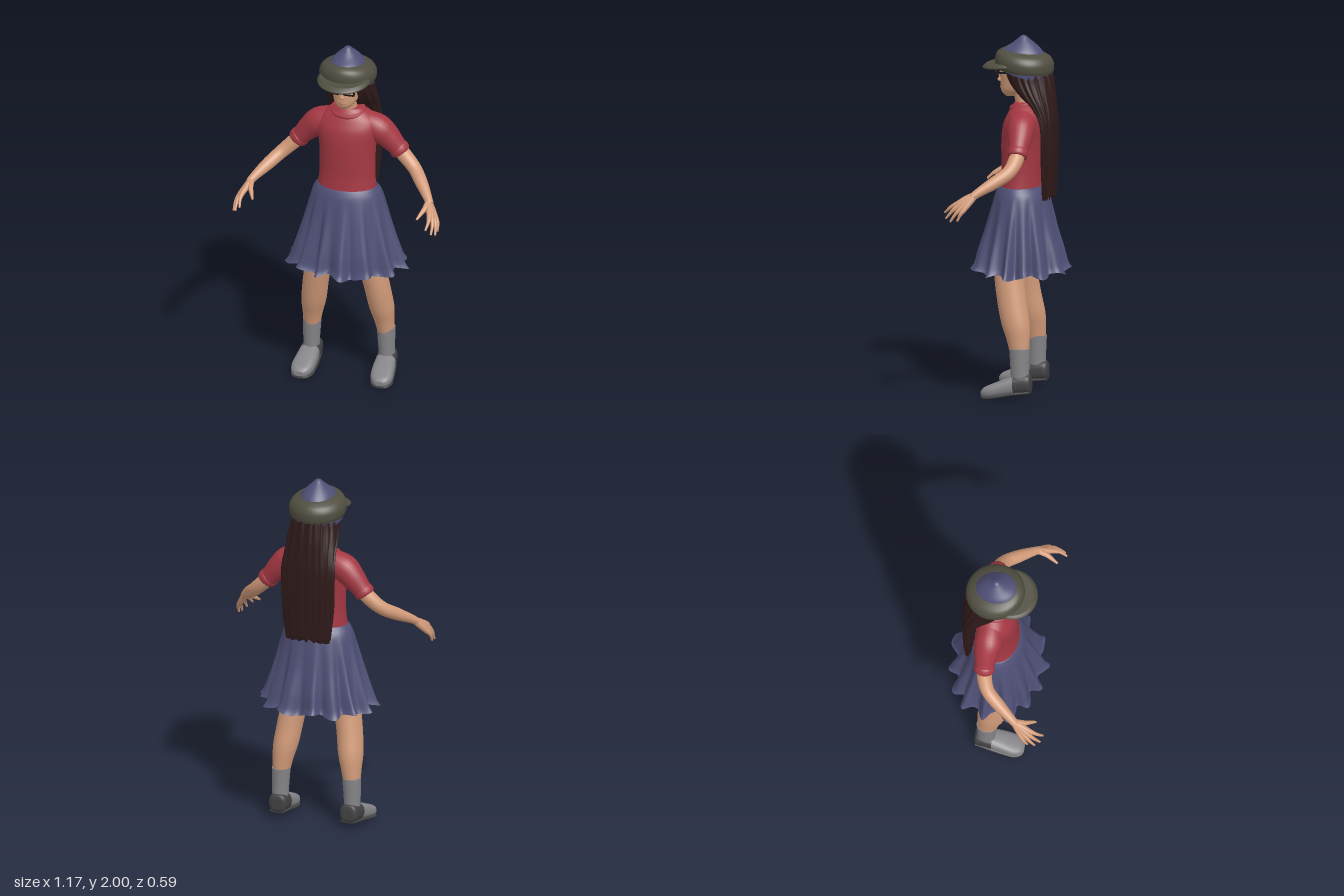
import * as THREE from 'three';

const mat = (name, color, side = THREE.FrontSide) => {
  const m = new THREE.MeshStandardMaterial({ color, side });
  m.name = name;
  return m;
};

// Smoothly resample rows of numbers (Catmull-Rom on every column)
function resample(rows, steps) {
  const out = [], n = rows.length - 1;
  for (let s = 0; s <= n * steps; s++) {
    const i = Math.min(Math.floor(s / steps), n - 1), t = s / steps - i;
    const [a, b, c, d] = [rows[Math.max(i - 1, 0)], rows[i], rows[i + 1], rows[Math.min(i + 2, n)]];
    out.push(b.map((_, k) => 0.5 * (2 * b[k] + (c[k] - a[k]) * t + (2 * a[k] - 5 * b[k] + 4 * c[k] - d[k]) * t * t
      + (3 * b[k] - a[k] - 3 * c[k] + d[k]) * t * t * t)));
  }
  return out;
}

// Skin a list of rings, closing both ends if capped
function skin(rings, cap = true) {
  const n = rings[0].length, pos = [], idx = [];
  rings.forEach(r => r.forEach(p => pos.push(p.x, p.y, p.z)));
  for (let i = 0; i < rings.length - 1; i++) for (let j = 0; j < n; j++) {
    const a = i * n + j, b = i * n + (j + 1) % n;
    idx.push(a, a + n, b, b, a + n, b + n);
  }
  if (cap) [0, rings.length - 1].forEach((row, end) => {
    const c = new THREE.Vector3();
    rings[row].forEach(p => c.addScaledVector(p, 1 / n));
    const first = pos.length / 3;
    rings[row].forEach(p => pos.push(p.x, p.y, p.z));
    pos.push(c.x, c.y, c.z);
    for (let j = 0; j < n; j++) {
      const a = first + j, b = first + (j + 1) % n;
      idx.push(first + n, ...(end ? [b, a] : [a, b]));
    }
  });
  const g = new THREE.BufferGeometry();
  g.setAttribute('position', new THREE.Float32BufferAttribute(pos, 3));
  g.setIndex(idx);
  g.computeVertexNormals();
  return g;
}

// Upright body from elliptical rows [y, cx, cz, rx, rz], bottom to top; tilt leans rows along z
function loft(rows, { seg = 32, steps = 5, tilt = 0, cap = true, mod } = {}) {
  return skin(resample(rows, steps).map(([y, cx, cz, rx, rz, lean = tilt]) =>
    Array.from({ length: seg }, (_, j) => {
      const a = j / seg * Math.PI * 2, m = mod ? mod(a, y) : { r: 1, dy: 0 };
      const z = Math.sin(a) * rz * m.r;
      return new THREE.Vector3(cx + Math.cos(a) * rx * m.r, y + m.dy + z * lean, cz + z);
    })), cap);
}

// Round limb through rows [x, y, z, radius]
function limb(rows, seg = 16, steps = 5) {
  const s = resample(rows, steps), v = r => new THREE.Vector3(r[0], r[1], r[2]);
  return skin(s.map((r, i) => {
    const t = v(s[Math.min(i + 1, s.length - 1)]).sub(v(s[Math.max(i - 1, 0)])).normalize();
    const n = new THREE.Vector3(0, 0, 1).cross(t).normalize(), b = t.clone().cross(n);
    return Array.from({ length: seg }, (_, j) => {
      const a = j / seg * Math.PI * 2;
      return v(r).addScaledVector(n, Math.cos(a) * r[3]).addScaledVector(b, -Math.sin(a) * r[3]);
    });
  }));
}

// Shoe body from stations [z, cx, bottom, top, halfWidth], heel to toe
function shoe(rows) {
  return skin(resample(rows, 5).map(([z, cx, lo, hi, w]) => Array.from({ length: 24 }, (_, j) => {
    const a = j / 24 * Math.PI * 2, c = Math.cos(a), s = Math.sin(a);
    const sq = v => Math.sign(v) * Math.abs(v) ** 0.75;
    return new THREE.Vector3(cx + sq(c) * w, (lo + hi) / 2 - sq(s) * (hi - lo) / 2, z);
  })));
}

function mirrored(geo) {
  const g = geo.clone().scale(-1, 1, 1), ix = g.index.array;
  for (let i = 0; i < ix.length; i += 3) [ix[i], ix[i + 1]] = [ix[i + 1], ix[i]];
  g.computeVertexNormals();
  return g;
}

function roundedRect(path, w, h, r) {
  path.moveTo(-w + r, -h);
  [[w - r, -h, w, -h, w, -h + r], [w, h - r, w, h, w - r, h], [-w + r, h, -w, h, -w, h - r], [-w, -h + r, -w, -h, -w + r, -h]]
    .forEach(([x, y, cx, cy, ex, ey]) => { path.lineTo(x, y); path.quadraticCurveTo(cx, cy, ex, ey); });
  return path;
}

export function createModel() {
  const group = new THREE.Group();
  const skinTone = mat('skin', 0xd29b79), red = mat('shirt red', 0xa43843), blue = mat('slate blue', 0x4f4f76, THREE.DoubleSide);
  const olive = mat('olive', 0x504e40), brown = mat('dark brown hair', 0x301a1a), grey = mat('grey', 0x858589);
  const dark = mat('dark grey', 0x424244), black = mat('black', 0x151517), lip = mat('lip', 0xb06f60), white = mat('eye white', 0xd8d0c8);
  const add = (name, geo, m) => {
    const mesh = new THREE.Mesh(geo, m);
    mesh.name = name;
    group.add(mesh);
    return mesh;
  };
  const pair = (name, geo, m) => { add(name + 'Left', geo, m); add(name + 'Right', mirrored(geo), m); };
  const ball = (x, y, z, a, b, c) => new THREE.SphereGeometry(1, 20, 14).scale(a, b, c).translate(x, y, z);
  const box = (x, y, z, a, b, c) => new THREE.BoxGeometry(a, b, c).translate(x, y, z);

  // Head, neck and face
  add('head', loft([[1.658, 0, 0.045, 0.022, 0.025], [1.675, 0, 0.03, 0.045, 0.058], [1.70, 0, 0.01, 0.065, 0.088],
    [1.75, 0, -0.02, 0.08, 0.12], [1.80, 0, -0.03, 0.088, 0.131], [1.87, 0, -0.035, 0.085, 0.12]]), skinTone);
  add('neck', limb([[0, 1.56, -0.05, 0.06], [0, 1.63, -0.035, 0.05], [0, 1.72, -0.015, 0.05]], 24), skinTone);
  add('nose', ball(0, 1.746, 0.1, 0.015, 0.011, 0.017), skinTone);
  add('noseBridge', limb([[0, 1.8, 0.094, 0.009], [0, 1.77, 0.1, 0.01], [0, 1.748, 0.107, 0.01]], 12), skinTone);
  add('mouth', ball(0, 1.706, 0.096, 0.021, 0.006, 0.006), lip);
  pair('eye', ball(0.036, 1.787, 0.088, 0.015, 0.008, 0.006), white);
  pair('iris', ball(0.036, 1.787, 0.0925, 0.006, 0.007, 0.003), brown);

  // Glasses
  for (const s of [1, -1]) {
    const rim = roundedRect(new THREE.Shape(), 0.035, 0.024, 0.014);
    rim.holes.push(roundedRect(new THREE.Path(), 0.026, 0.016, 0.009));
    const g = new THREE.ExtrudeGeometry(rim, { depth: 0.006, bevelEnabled: false });
    add(s > 0 ? 'rimLeft' : 'rimRight', g.translate(s * 0.043, 1.788, 0.106), black);
  }
  add('glassesBridge', box(0, 1.794, 0.109, 0.022, 0.008, 0.006), black);
  pair('temple', box(0.081, 1.797, 0.055, 0.006, 0.009, 0.11), black);

  // Long hair falling down the back, with strands and a ragged end
  add('hair', loft([[1.11, 0, -0.175, 0.13, 0.028], [1.3, 0, -0.176, 0.15, 0.035], [1.5, 0, -0.175, 0.155, 0.04],
    [1.6, 0, -0.148, 0.147, 0.062], [1.68, 0, -0.105, 0.143, 0.1], [1.76, 0, -0.07, 0.135, 0.125], [1.85, 0, -0.05, 0.13, 0.13]], {
    seg: 120, mod: (a, y) => ({
      r: 1 + 0.03 * Math.sin(a * 19 + 2 * Math.sin(a * 3)) + 0.015 * Math.sin(a * 37 + y * 8),
      dy: y < 1.2 ? 0.016 * Math.sin(a * 17) * (1.2 - y) / 0.1 : 0,
    }),
  }), brown);

  // Hat: lower band, puffed crown, pointed top, visor
  add('hatBand', loft([[1.785, 0, -0.035, 0.143, 0.148, 0.28], [1.83, 0, -0.035, 0.15, 0.155, 0.1]], { seg: 48 }), blue);
  add('hatCrown', loft([[1.803, 0, -0.035, 0.15, 0.155], [1.825, 0, -0.035, 0.158, 0.162], [1.86, 0, -0.035, 0.157, 0.162],
    [1.89, 0, -0.033, 0.138, 0.15], [1.908, 0, -0.03, 0.105, 0.127], [1.914, 0, -0.03, 0.085, 0.11]], { seg: 48, tilt: 0.1 }), olive);
  add('hatTop', loft([[1.9, 0, -0.026, 0.1, 0.124, 0.08], [1.925, 0, -0.028, 0.085, 0.102, 0.06], [1.955, 0, -0.03, 0.056, 0.064, 0],
    [1.98, 0, -0.03, 0.03, 0.033, 0], [1.995, 0, -0.03, 0.015, 0.016, 0], [2.0, 0, -0.03, 0.004, 0.004, 0]], { seg: 40 }), blue);
  add('visor', loft([[1.825, 0, 0.055, 0.13, 0.13], [1.831, 0, 0.055, 0.146, 0.143], [1.84, 0, 0.055, 0.146, 0.142],
    [1.853, 0, 0.055, 0.132, 0.122]], { seg: 48, tilt: -0.11 }), olive);

  // Shirt with sleeves, cuffs and collar
  add('shirt', loft([[1.14, 0, -0.015, 0.166, 0.115], [1.25, 0, -0.02, 0.156, 0.11], [1.4, 0, -0.025, 0.16, 0.116],
    [1.5, 0, -0.035, 0.178, 0.116], [1.56, 0, -0.045, 0.168, 0.102], [1.605, 0, -0.045, 0.115, 0.078],
    [1.63, 0, -0.04, 0.078, 0.056]], { seg: 40 }), red);
  pair('sleeve', limb([[0.09, 1.535, -0.05, 0.07], [0.165, 1.508, -0.052, 0.077], [0.215, 1.465, -0.058, 0.069],
    [0.265, 1.41, -0.06, 0.056], [0.297, 1.374, -0.06, 0.05]], 24), red);
  pair('cuff', limb([[0.276, 1.397, -0.06, 0.05], [0.279, 1.394, -0.06, 0.057], [0.296, 1.375, -0.06, 0.055],
    [0.3, 1.37, -0.06, 0.046]], 24), red);
  add('collar', new THREE.TorusGeometry(1, 0.19, 10, 48).rotateX(Math.PI / 2).scale(0.084, 0.075, 0.07)
    .rotateX(0.3).translate(0, 1.612, -0.032), red);

  // Arms and hands
  pair('arm', limb([[0.25, 1.425, -0.06, 0.04], [0.31, 1.36, -0.058, 0.042], [0.38, 1.295, -0.03, 0.038],
    [0.44, 1.245, 0.04, 0.035], [0.495, 1.198, 0.115, 0.025], [0.515, 1.175, 0.145, 0.022]], 20), skinTone);
  [['index', 0.532, 1.143, 0.222, 0.53, 1.088, 0.295], ['middle', 0.545, 1.132, 0.212, 0.558, 1.06, 0.283],
    ['ring', 0.554, 1.121, 0.197, 0.575, 1.045, 0.255], ['little', 0.56, 1.112, 0.18, 0.577, 1.05, 0.215]]
    .forEach(([name, kx, ky, kz, tx, ty, tz]) => pair(name + 'Finger', limb([[0.505, 1.187, 0.13, 0.019],
      [(0.505 + kx) / 2, (1.187 + ky) / 2, (0.13 + kz) / 2, 0.018], [kx, ky, kz, 0.014],
      [(kx + tx) / 2 + 0.006, (ky + ty) / 2 + 0.006, (kz + tz) / 2, 0.01], [tx, ty, tz, 0.006]], 12), skinTone));
  pair('thumb', limb([[0.505, 1.185, 0.14, 0.018], [0.497, 1.165, 0.185, 0.015], [0.482, 1.145, 0.22, 0.011],
    [0.468, 1.125, 0.25, 0.006]], 12), skinTone);

  // Pleated skirt, folds deepening toward a flared hem
  add('skirt', loft([[0.69, 0, -0.02, 0.315, 0.255], [0.72, 0, -0.02, 0.298, 0.238], [0.8, 0, -0.02, 0.275, 0.222],
    [0.92, 0, -0.02, 0.245, 0.192], [1.05, 0, -0.022, 0.215, 0.163], [1.12, 0, -0.022, 0.195, 0.145],
    [1.155, 0, -0.018, 0.175, 0.125], [1.165, 0, -0.018, 0.166, 0.117]], {
    seg: 200, cap: false, mod: (a, y) => {
      const k = Math.min(Math.max((1.12 - y) / 0.42, 0), 1);
      const fold = Math.sin(a * 14 + 0.9 * Math.sin(a * 3 + 0.5));
      return { r: 1 + k * (0.095 * fold + 0.03 * Math.sin(a * 5 + 1) + 0.02 * Math.sin(a * 27)), dy: -0.012 * k * k * Math.sin(a * 9 + 2) };
    },
  }), blue);

  // Legs, socks and shoes
  pair('leg', loft([[0.24, 0.212, -0.055, 0.044, 0.05], [0.33, 0.204, -0.045, 0.056, 0.064], [0.42, 0.193, -0.028, 0.069, 0.079],
    [0.55, 0.175, -0.002, 0.072, 0.082], [0.7, 0.148, 0.015, 0.076, 0.086], [0.9, 0.11, 0, 0.09, 0.1], [1.05, 0.09, -0.02, 0.08, 0.09]]), skinTone);
  pair('sock', loft([[0.08, 0.215, -0.06, 0.045, 0.05], [0.16, 0.214, -0.056, 0.046, 0.051], [0.27, 0.211, -0.055, 0.051, 0.057],
    [0.285, 0.21, -0.055, 0.051, 0.057]], { seg: 24 }), grey);
  pair('shoeHeel', shoe([[-0.122, 0.212, 0.055, 0.11, 0.03], [-0.112, 0.212, 0.038, 0.138, 0.048], [-0.07, 0.214, 0.034, 0.14, 0.054],
    [-0.025, 0.217, 0.03, 0.13, 0.057]]), dark);
  pair('shoeToe', shoe([[-0.03, 0.217, 0.03, 0.13, 0.056], [0.04, 0.221, 0.018, 0.105, 0.062], [0.1, 0.226, 0.009, 0.08, 0.062],
    [0.14, 0.229, 0.008, 0.062, 0.046], [0.156, 0.23, 0.018, 0.045, 0.024]]), grey);
  pair('shoeSole', shoe([[-0.115, 0.212, 0.034, 0.052, 0.044], [-0.025, 0.217, 0.024, 0.044, 0.058], [0.04, 0.221, 0.012, 0.032, 0.063],
    [0.1, 0.226, 0.002, 0.022, 0.063], [0.14, 0.229, 0, 0.018, 0.046], [0.155, 0.23, 0.004, 0.016, 0.024]]), dark);

  return group;
}
